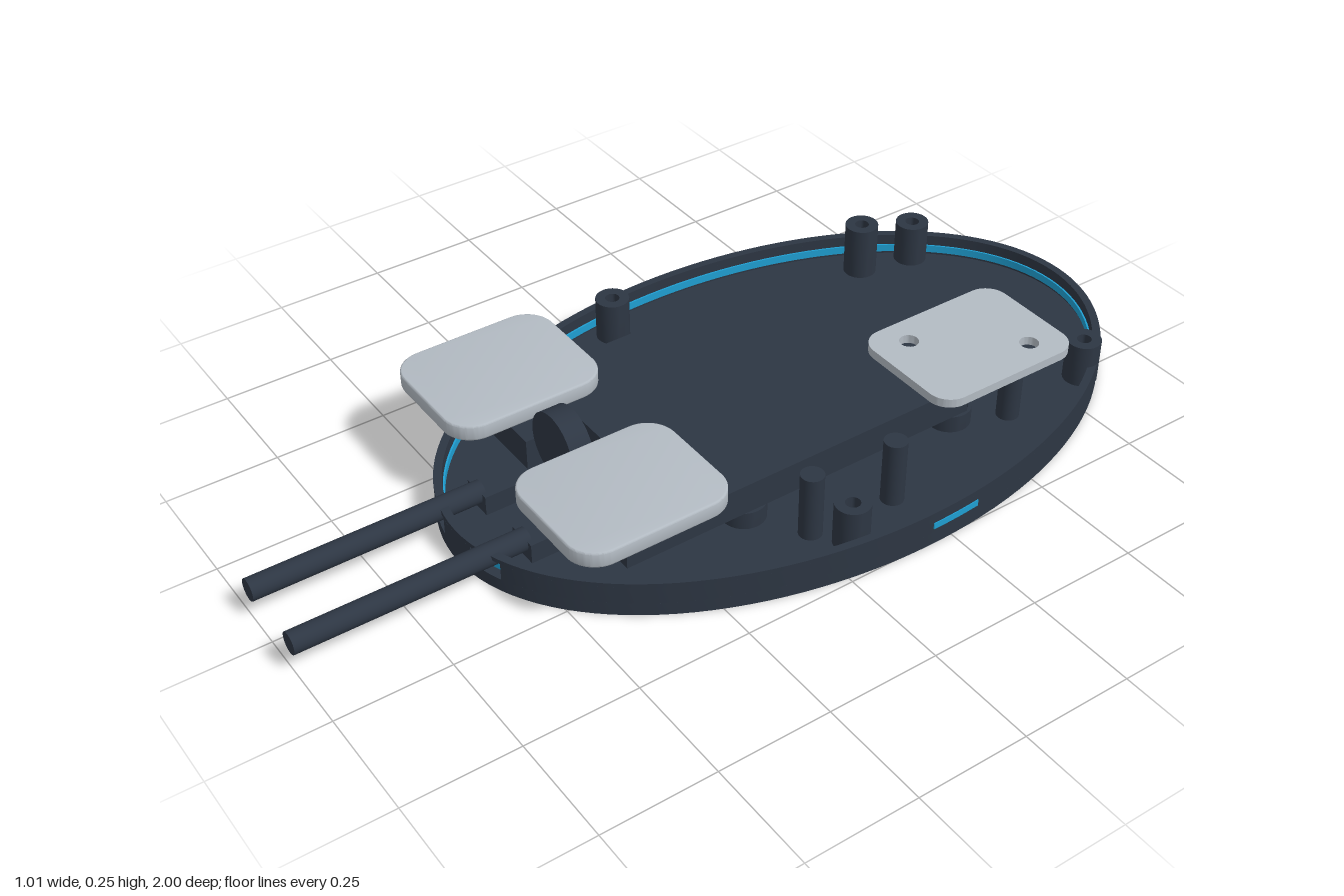
import * as THREE from 'three';
import { toCreasedNormals } from 'three/addons/utils/BufferGeometryUtils.js';

const RX = 0.505, RZ = 0.8, CZ = -0.2, FLOOR = 0.03;

export function createModel() {
  const root = new THREE.Group();
  root.name = 'ovalTray';
  const mat = (name, color) => {
    const m = new THREE.MeshStandardMaterial({ color });
    m.name = name;
    return m;
  };
  const dark = mat('darkSlate', 0x2d3643);
  const grey = mat('lightGrey', 0xb3bbc3);
  const cyan = mat('cyan', 0x1f9fd2);

  const add = (name, geo, material, x = 0, y = 0, z = 0) => {
    const m = new THREE.Mesh(geo, material);
    m.name = name;
    m.position.set(x, y, z);
    root.add(m);
    return m;
  };
  // Extrude a plan drawn with shape y = -z upwards from y0 to y1
  const slab = (shape, y0, y1, bevel = 0) => {
    const g = new THREE.ExtrudeGeometry(shape, {
      depth: y1 - y0 - 2 * bevel, curveSegments: 16, bevelEnabled: bevel > 0,
      bevelSize: bevel, bevelThickness: bevel, bevelOffset: -bevel, bevelSegments: 3,
    });
    g.rotateX(-Math.PI / 2).translate(0, y0 + bevel, 0);
    return toCreasedNormals(g, 0.6);
  };
  // Points on the tray outline moved inwards; angle 0 is the front
  const arc = (inset, a0, a1) => {
    const n = Math.max(4, Math.ceil(Math.abs(a1 - a0) * 20));
    return Array.from({ length: n + 1 }, (_, i) => {
      const a = a0 + (a1 - a0) * i / n;
      return new THREE.Vector2((RX - inset) * Math.sin(a), -CZ - (RZ - inset) * Math.cos(a));
    });
  };
  const band = (outer, inner, a0, a1) =>
    new THREE.Shape([...arc(outer, a0, a1), ...arc(inner, a1, a0)]);
  const ring = (outer, inner) => {
    const s = new THREE.Shape(arc(outer, 0, Math.PI * 2).slice(0, -1));
    if (inner) s.holes.push(new THREE.Path(arc(inner, 0, Math.PI * 2).slice(0, -1)));
    return s;
  };
  const circle = (x, z, r) => new THREE.Path().absarc(x, -z, r, 0, Math.PI * 2, false);
  const roundedRect = (w, d, r) => {
    const s = new THREE.Shape(), x = w / 2, y = d / 2;
    s.absarc(x - r, y - r, r, 0, Math.PI / 2, false);
    s.absarc(r - x, y - r, r, Math.PI / 2, Math.PI, false);
    s.absarc(r - x, r - y, r, Math.PI, Math.PI * 1.5, false);
    s.absarc(x - r, r - y, r, Math.PI * 1.5, Math.PI * 2, false);
    s.closePath();
    return s;
  };
  const box = (name, x0, x1, y0, y1, z0, z1, m = dark) =>
    add(name, new THREE.BoxGeometry(x1 - x0, y1 - y0, z1 - z0), m,
      (x0 + x1) / 2, (y0 + y1) / 2, (z0 + z1) / 2);

  // Floor with a square opening and four mounting slots
  const floor = ring(0);
  const rectHole = (x, z, w, d) => floor.holes.push(new THREE.Path([
    new THREE.Vector2(x - w / 2, -z - d / 2), new THREE.Vector2(x + w / 2, -z - d / 2),
    new THREE.Vector2(x + w / 2, -z + d / 2), new THREE.Vector2(x - w / 2, -z + d / 2)]));
  rectHole(0, -0.1, 0.2, 0.2);
  const slots = [];
  for (const x of [-0.24, 0.24]) for (const z of [-0.465, 0.075]) slots.push([x, z]);
  for (const [x, z] of slots) rectHole(x, z, 0.03, 0.075);
  add('floor', slab(floor, 0, FLOOR), dark);

  // Rim, open at the two cable ports
  const g0 = 0.104, g1 = 0.258;
  add('rimFront', slab(band(0, 0.018, -g0, g0), FLOOR, 0.07), dark);
  add('rimSides', slab(band(0, 0.018, g1, Math.PI * 2 - g1), FLOOR, 0.07), dark);
  add('rimTop', slab(ring(0, 0.018), 0.07, 0.08), dark);

  // Light strip along the inner wall, and its side window
  add('lightStrip', slab(ring(0.016, 0.022), 0.037, 0.055), cyan);
  add('sideWindow', slab(band(-0.002, 0.004, 1.57, 1.72), 0.04, 0.055), cyan);

  // Central casing with a notch at the front
  const casingBottom = 0.07, casingTop = 0.14;
  box('casing', -0.28, 0.28, casingBottom, casingTop, -0.48, 0.25);
  for (const s of [-1, 1]) {
    const [a, b] = s < 0 ? [-0.28, -0.088] : [0.088, 0.28];
    box('casingArm', a, b, casingBottom, casingTop, 0.25, 0.38);
  }

  // Hollow screw bosses: x, z, top, radius, bore
  const boss = (name, x, z, y0, y1, r, bore) => {
    const s = new THREE.Shape();
    s.absarc(0, 0, r, 0, Math.PI * 2, false);
    s.holes.push(circle(0, 0, bore));
    add(name, slab(s, y0, y1), dark, x, 0, z);
  };
  for (const [x, z, top] of [
    [-0.29, -0.8, 0.13], [0.29, -0.8, 0.13], [-0.43, -0.05, 0.13], [0.43, -0.05, 0.13],
    [-0.318, -0.67, 0.155], [0.063, -0.67, 0.155], [0.063, 0.19, 0.155],
  ]) boss('screwBoss', x, z, FLOOR, top, 0.038, 0.016);
  for (const [x, z] of slots) boss('slotCollar', x, z, FLOOR, casingBottom, 0.048, 0.04);

  // Slim support posts
  for (const [x, z] of [[0.375, -0.2], [0.363, 0], [0.3, -0.58], [0.15, -0.58]]) {
    add('supportPost', new THREE.CylinderGeometry(0.025, 0.025, 0.15, 24), dark, x, 0.105, z);
  }

  // Upright disc in the notch
  add('disc', new THREE.CylinderGeometry(0.075, 0.075, 0.05, 48).rotateX(Math.PI / 2),
    dark, 0, 0.18, 0.345);

  // Cables with their clamps, and front pads
  for (const s of [-1, 1]) {
    add('cable', new THREE.CylinderGeometry(0.024, 0.024, 0.51, 24).rotateX(Math.PI / 2),
      dark, s * 0.088, 0.066, 0.745);
    box('cableClamp', s * 0.088 - 0.035, s * 0.088 + 0.035, FLOOR, 0.075, 0.43, 0.5);
    add('frontPad', slab(roundedRect(0.29, 0.352, 0.065), 0.194, 0.23, 0.004),
      grey, s * 0.228, 0, 0.354);
  }

  // Rear pad with two holes
  const pad = roundedRect(0.28, 0.366, 0.05);
  pad.holes.push(circle(0.075, -0.102, 0.021), circle(-0.075, 0.1, 0.021));
  add('rearPad', slab(pad, 0.18, 0.2), grey, 0.225, 0, -0.519);

  return root;
}
